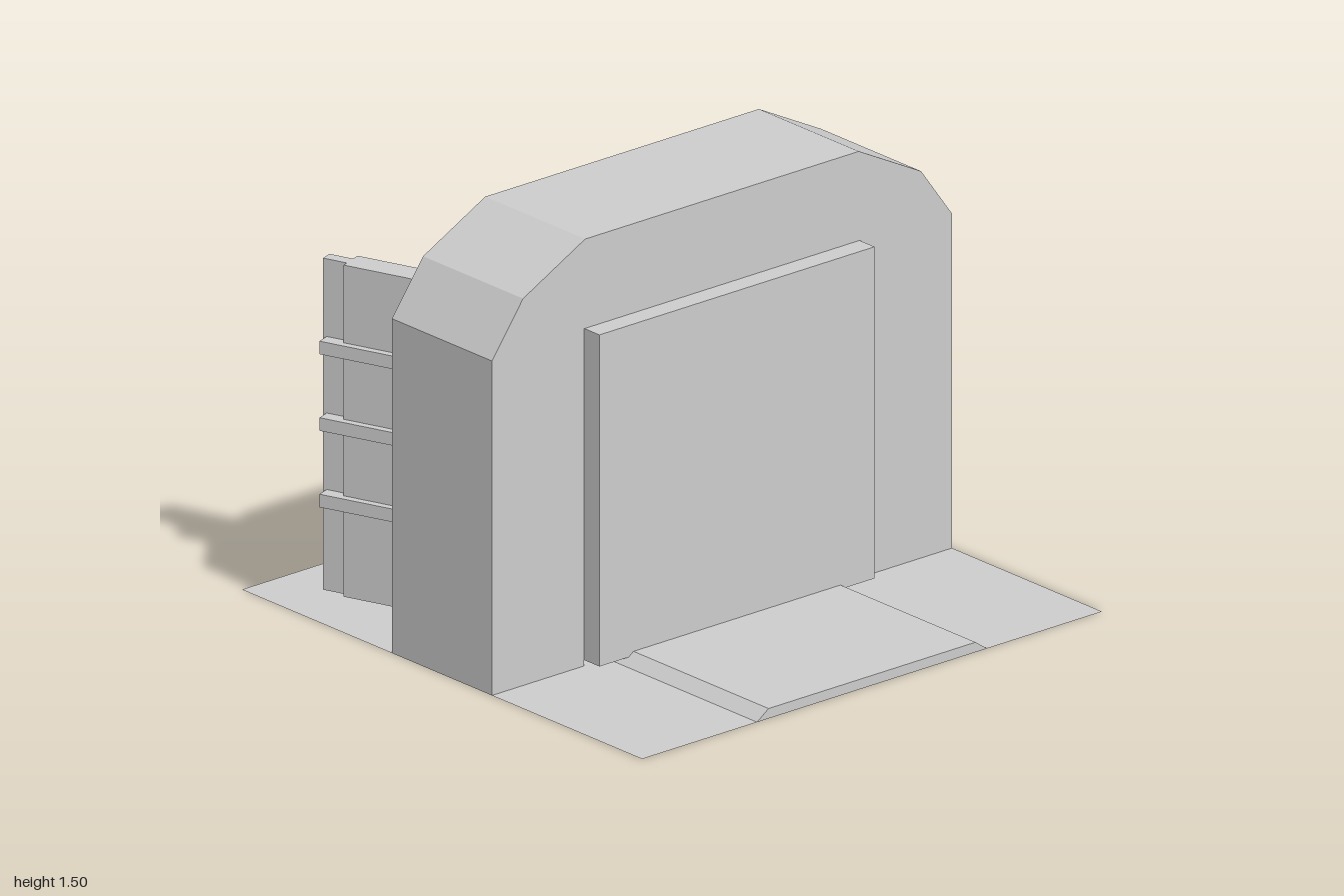
import * as THREE from 'three';

const grey = new THREE.MeshStandardMaterial({ color: 0xcccccc, flatShading: true });
const thin = new THREE.MeshStandardMaterial({ color: 0xcccccc, flatShading: true, side: THREE.DoubleSide });

function add(parent, name, geometry, material = grey) {
  const mesh = new THREE.Mesh(geometry, material);
  mesh.name = name;
  parent.add(mesh);
  return mesh;
}

// Box given by its minimum and maximum on each axis
function box(parent, name, [x0, x1], [y0, y1], [z0, z1]) {
  const mesh = add(parent, name, new THREE.BoxGeometry(Math.abs(x1 - x0), y1 - y0, Math.abs(z1 - z0)));
  mesh.position.set((x0 + x1) / 2, (y0 + y1) / 2, (z0 + z1) / 2);
}

// Prism along z, centred on z = 0, from a half outline mirrored in x
function prism(half, depth) {
  const mirrored = half.map(([x, y]) => [-x, y]).reverse();
  const shape = new THREE.Shape([...half, ...mirrored].map(([x, y]) => new THREE.Vector2(x, y)));
  return new THREE.ExtrudeGeometry(shape, { depth, bevelEnabled: false }).translate(0, 0, -depth / 2);
}

// Swung-open rear door; side is +1 (left) or -1 (right)
function makeDoor(side) {
  const door = new THREE.Group();
  door.name = side > 0 ? 'leftDoor' : 'rightDoor';
  const height = [0.02, 1.19];
  box(door, 'doorPanel', [0, side * 0.095], height, [0, -0.508]);
  box(door, 'doorLip', [side * 0.03, side * 0.073], height, [-0.45, -0.597]);
  for (const y of [0.33, 0.6, 0.87]) {
    box(door, 'doorBar', [side * 0.073, side * 0.121], [y, y + 0.046], [0, -0.584]);
  }
  door.position.set(side * 0.56, 0, -0.25);
  door.rotation.y = -side * THREE.MathUtils.degToRad(20);
  return door;
}

export function createModel() {
  const model = new THREE.Group();
  model.name = 'gateway';

  // Ground sheet and the raised roadway with sloped edges
  add(model, 'ground', new THREE.PlaneGeometry(2, 2).rotateX(-Math.PI / 2), thin);
  add(model, 'roadway', prism([[0.5, 0], [0.45, 0.035]], 2));

  // Arched frame around the opening
  add(model, 'frame', prism([
    [0.6, 1.19], [0.6, 0], [1, 0], [1, 1.18], [0.865, 1.365], [0.595, 1.505],
  ], 0.5));

  // Thick front panel closing the opening
  box(model, 'frontPanel', [-0.598, 0.598], [0.02, 1.19], [0.075, 0.325]);

  for (const side of [1, -1]) model.add(makeDoor(side));
  return model;
}
